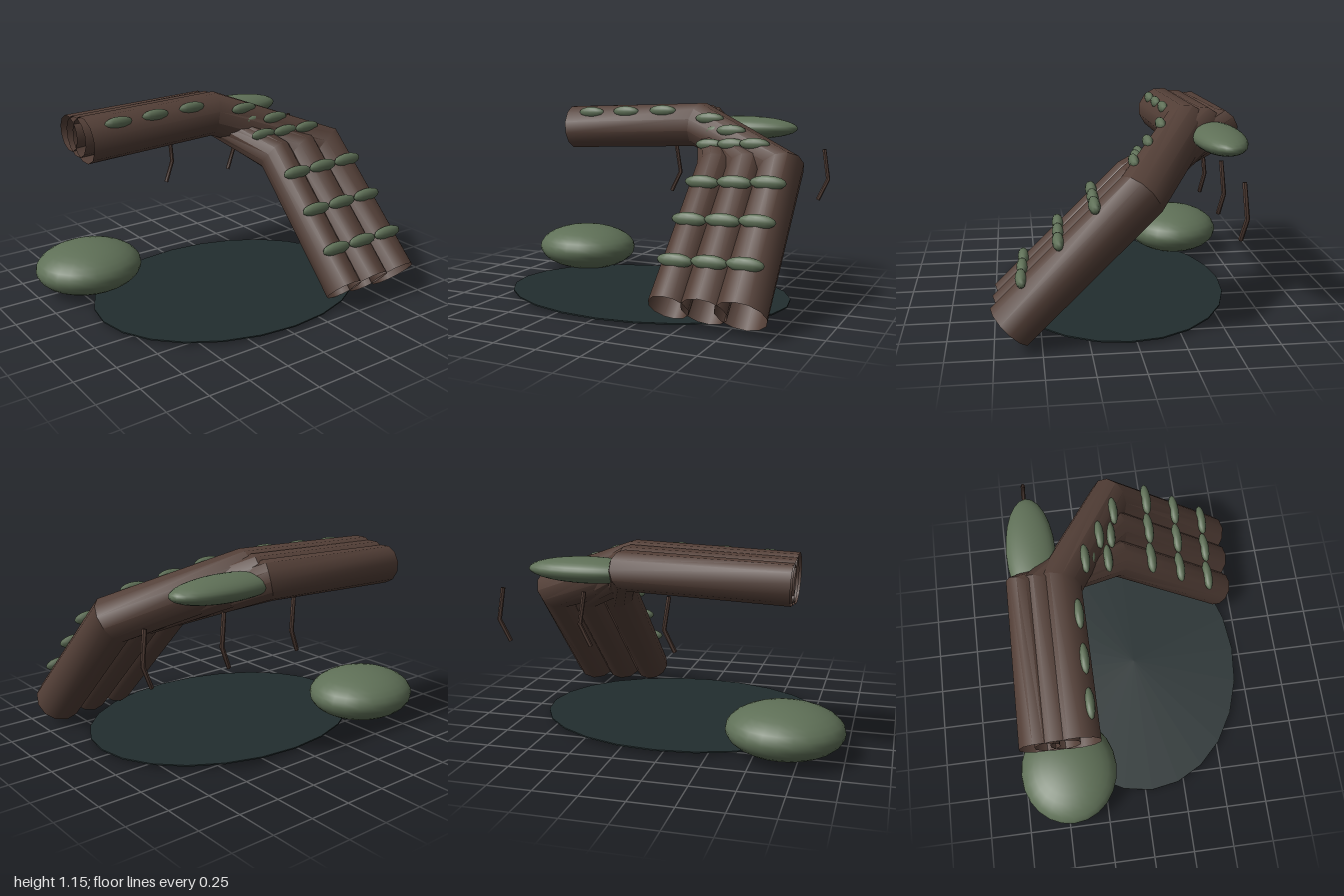
import * as THREE from 'three';
import { toCreasedNormals } from 'three/addons/utils/BufferGeometryUtils.js';

const V = (x, y, z) => new THREE.Vector3(x, y, z);

// Open tube along a bent path; each ring lies square to the mean direction of its neighbours
function bentTube(points, radius, sides) {
  const pos = [], index = [], last = points.length - 1;
  points.forEach((p, i) => {
    const into = points[Math.max(i, 1)].clone().sub(points[Math.max(i, 1) - 1]).normalize();
    const j = Math.min(i, last - 1);
    const out = points[j + 1].clone().sub(points[j]).normalize();
    const t = into.add(out).normalize();
    const up = V(0, 1, 1).addScaledVector(t, -V(0, 1, 1).dot(t)).normalize();
    const side = t.clone().cross(up);
    for (let k = 0; k < sides; k++) {
      const a = k / sides * Math.PI * 2;
      const q = p.clone().addScaledVector(up, radius * Math.cos(a)).addScaledVector(side, radius * Math.sin(a));
      pos.push(q.x, q.y, q.z);
      if (i < last) {
        const a0 = i * sides + k, b0 = i * sides + (k + 1) % sides;
        index.push(a0, b0, a0 + sides, b0, b0 + sides, a0 + sides);
      }
    }
  });
  const g = new THREE.BufferGeometry();
  g.setAttribute('position', new THREE.Float32BufferAttribute(pos, 3));
  g.setIndex(index);
  // Wind the faces outward
  const n = g.clone();
  n.computeVertexNormals();
  const first = V(pos[0], pos[1], pos[2]).sub(points[0]);
  if (first.dot(V().fromBufferAttribute(n.attributes.normal, 0)) < 0) {
    g.setIndex(index.slice().reverse());
  }
  return toCreasedNormals(g, 0.65);
}

export function createModel() {
  const model = new THREE.Group();
  const bark = new THREE.MeshStandardMaterial({ color: 0x533f37, side: THREE.DoubleSide });
  bark.name = 'bark brown';
  const moss = new THREE.MeshStandardMaterial({ color: 0x5f7057 });
  moss.name = 'moss green';
  const water = new THREE.MeshStandardMaterial({ color: 0x222d2e });
  water.name = 'dark water';

  const add = (name, geometry, material, parent = model) => {
    const mesh = new THREE.Mesh(geometry, material);
    mesh.name = name;
    parent.add(mesh);
    return mesh;
  };
  const blob = (name, center, radii, parent, w = 24, h = 16) => {
    const m = add(name, new THREE.SphereGeometry(1, w, h), moss, parent);
    m.position.copy(center);
    m.scale.copy(radii);
  };

  // Pool
  const pool = add('pool', new THREE.CylinderGeometry(1, 1, 0.008, 24), water);
  pool.position.set(0.04, 0.021, 0.04);
  pool.scale.set(0.875, 1, 0.67);

  // Bushes
  blob('groundBush', V(-0.665, 0.152, -0.465), V(0.335, 0.15, 0.3));
  blob('hangingBush', V(0.45, 1.003, -0.51), V(0.35, 0.072, 0.143));

  // Three bent trunks, from the back one to the front one, with moss pads on each span
  for (let i = 0; i < 3; i++) {
    const trunk = new THREE.Group();
    trunk.name = 'trunk' + (i + 1);
    model.add(trunk);
    const r = 0.113 + 0.014 * i, z = -0.572 + 0.0985 * i;
    const path = [
      V(-0.7, 0.985, z), V(0.21, 1.02, z),
      V(0.45 + 0.195 * i, 0.79, -0.015), V(0.45 + 0.2 * i, 0.12, 0.665),
    ];
    add('log', bentTube(path, r, 12), bark, trunk);
    for (let s = 0; s < 3; s++) {
      for (const t of [0.2, 0.475, 0.76]) {
        const c = path[s].clone().lerp(path[s + 1], t).add(V(0, 0.68 * r, 0.7 * r));
        blob('mossPad', c, s === 2 ? V(0.105, 0.04, 0.032) : V(0.092, 0.035, 0.028), trunk, 12, 8);
      }
    }
  }

  // Row of hanging twigs
  for (let i = 0; i < 3; i++) {
    const x = -0.02 + 0.4925 * i;
    add('twig', bentTube([V(x, 0.88, -0.525), V(x + 0.025, 0.695, -0.54), V(x - 0.032, 0.567, -0.525)], 0.013, 6), bark);
  }
  return model;
}
